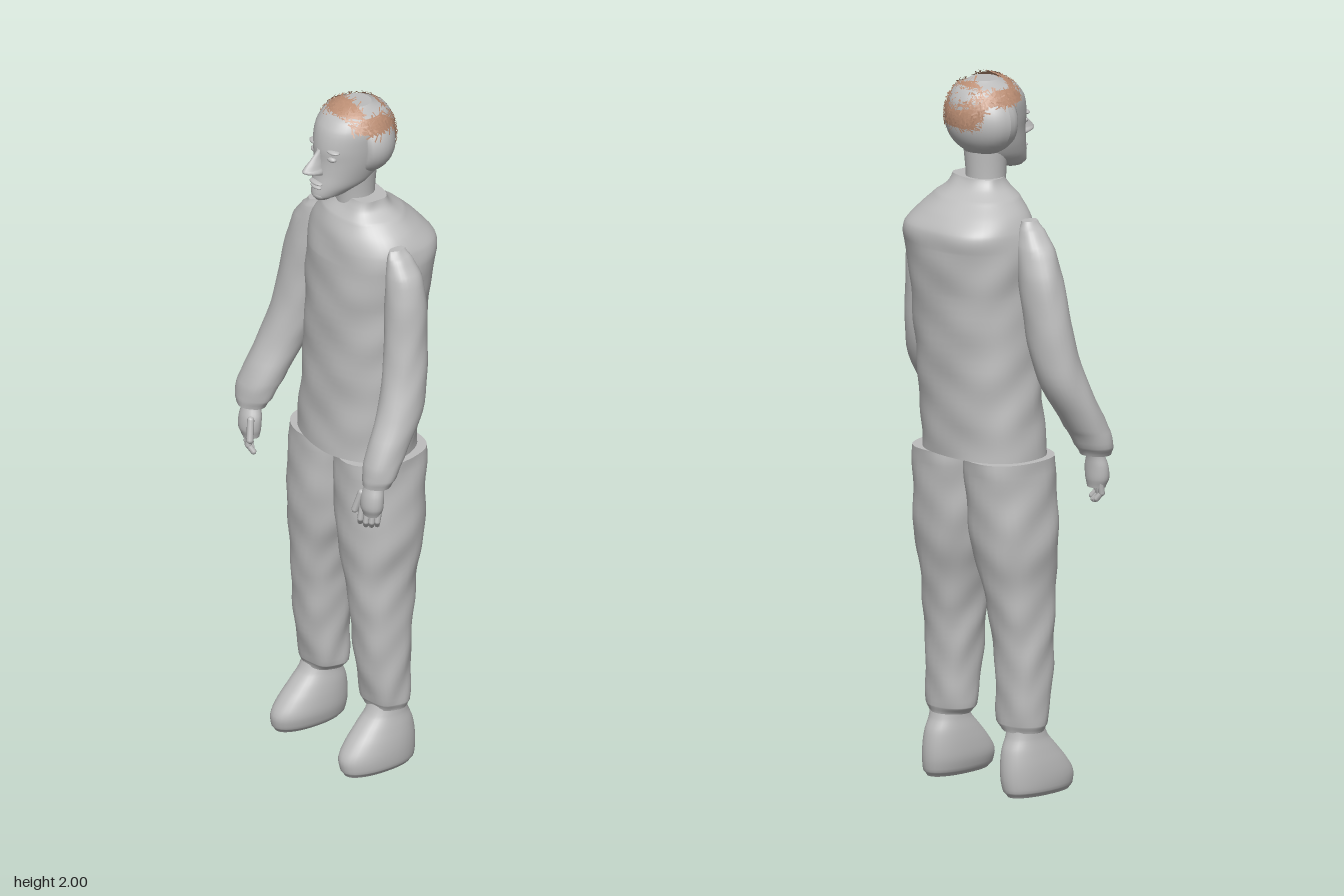
import * as THREE from 'three';

const clothGrey = new THREE.MeshStandardMaterial({ color: 0xbdbdbd, side: THREE.DoubleSide });
clothGrey.name = 'plain grey';
const hairBrown = new THREE.MeshStandardMaterial({ color: 0xbb8e74, side: THREE.DoubleSide });
hairBrown.name = 'hair brown';

let seed = 7;
const rand = () => (seed = (seed * 16807) % 2147483647) / 2147483647;

function add(parent, name, geometry, material = clothGrey) {
  const mesh = new THREE.Mesh(geometry, material);
  mesh.name = name;
  parent.add(mesh);
  return mesh;
}

// Closed loft through rings [y, x0, x1, z0, z1], listed upward and smoothed between.
function loft(rings, { seg = 32, steps = 4, power = 2, wrinkle = 0 } = {}) {
  const rows = [];
  for (let i = 0; i < rings.length - 1; i++) {
    const [p, a, b, q] = [rings[Math.max(i - 1, 0)], rings[i], rings[i + 1], rings[Math.min(i + 2, rings.length - 1)]];
    for (let s = 0; s < steps; s++) {
      const t = s / steps;
      rows.push(a.map((v, k) => k === 0 ? v + (b[0] - v) * t
        : 0.5 * (2 * v + (b[k] - p[k]) * t + (2 * p[k] - 5 * v + 4 * b[k] - q[k]) * t * t + (3 * v - p[k] - 3 * b[k] + q[k]) * t ** 3)));
    }
  }
  rows.push(rings.at(-1));
  const pos = [], idx = [];
  const round = v => Math.sign(v) * Math.abs(v) ** (2 / power);
  rows.forEach(([y, x0, x1, z0, z1]) => {
    for (let j = 0; j < seg; j++) {
      const a = j / seg * Math.PI * 2;
      const w = wrinkle * (Math.sin(y * 47 + 3 * Math.sin(a * 2)) + Math.sin(y * 29 - a * 5));
      pos.push((x0 + x1) / 2 + ((x1 - x0) / 2 + w) * round(Math.sin(a)), y,
        (z0 + z1) / 2 + ((z1 - z0) / 2 + w) * round(Math.cos(a)));
    }
  });
  for (let i = 0; i < rows.length - 1; i++) for (let j = 0; j < seg; j++) {
    const k = (j + 1) % seg, a = i * seg + j, b = i * seg + k;
    idx.push(a, b, b + seg, a, b + seg, a + seg);
  }
  // End caps use their own vertices so the rims stay sharp
  [0, rows.length - 1].forEach((i, top) => {
    const base = pos.length / 3, [y, x0, x1, z0, z1] = rows[i];
    pos.push(...pos.slice(i * seg * 3, (i + 1) * seg * 3), (x0 + x1) / 2, y, (z0 + z1) / 2);
    for (let j = 0; j < seg; j++) {
      const a = base + j, b = base + (j + 1) % seg;
      idx.push(...(top ? [a, b, base + seg] : [b, a, base + seg]));
    }
  });
  const g = new THREE.BufferGeometry();
  g.setAttribute('position', new THREE.Float32BufferAttribute(pos, 3));
  g.setIndex(idx);
  g.computeVertexNormals();
  return g;
}

// Mirror a ring list across x
const flip = (rings, side) => side > 0 ? rings : rings.map(([y, x0, x1, z0, z1]) => [y, -x1, -x0, z0, z1]);

function finger(parent, name, from, to, radius) {
  const a = new THREE.Vector3(...from), b = new THREE.Vector3(...to), d = b.clone().sub(a);
  const m = add(parent, name, new THREE.CapsuleGeometry(radius, d.length(), 4, 8));
  m.position.copy(a).add(b).multiplyScalar(0.5);
  m.quaternion.setFromUnitVectors(new THREE.Vector3(0, 1, 0), d.normalize());
}

function ellipsoid(parent, name, [x, y, z], [rx, ry, rz]) {
  const m = add(parent, name, new THREE.SphereGeometry(1, 24, 16));
  m.position.set(x, y, z);
  m.scale.set(rx, ry, rz);
}

function buildHead(group) {
  const head = new THREE.Group();
  head.name = 'head';
  group.add(head);
  add(head, 'neck', loft([[1.62, -.05, .08, -.05, .06], [1.7, -.042, .068, -.045, .065], [1.82, -.045, .08, -.05, .075]]));
  add(head, 'face', loft([
    [1.722, .0, .035, .09, .143], [1.735, -.022, .055, .04, .152], [1.765, -.043, .078, -.03, .147],
    [1.8, -.056, .09, -.06, .14], [1.84, -.065, .1, -.084, .136], [1.88, -.073, .106, -.097, .136],
    [1.93, -.077, .108, -.097, .124], [1.965, -.062, .092, -.076, .096], [1.985, -.025, .055, -.035, .045]], { power: 2.1 }));
  // Wider shell behind the face, cut flat at the front
  const shell = new THREE.SphereGeometry(1, 36, 24).scale(.117, .1, .09).translate(.012, 1.873, -.005);
  const p = shell.attributes.position;
  for (let i = 0; i < p.count; i++) p.setZ(i, Math.min(p.getZ(i), .035));
  shell.computeVertexNormals();
  add(head, 'backOfHead', shell);
  add(head, 'nose', loft([[1.803, .0, .038, .12, .152], [1.813, -.004, .041, .12, .185],
    [1.823, .002, .035, .12, .187], [1.85, .009, .027, .12, .16], [1.875, .01, .026, .12, .139]], { seg: 16 }));
  ellipsoid(head, 'upperLip', [.018, 1.776, .143], [.026, .006, .013]);
  ellipsoid(head, 'lowerLip', [.018, 1.764, .143], [.022, .006, .012]);
  ellipsoid(head, 'chin', [.018, 1.738, .132], [.026, .016, .02]);
  for (const s of [-1, 1]) {
    ellipsoid(head, 'eye', [.018 + s * .037, 1.855, .118], [.017, .009, .012]);
    ellipsoid(head, 'brow', [.018 + s * .038, 1.878, .115], [.026, .007, .016]);
  }
}

// Hair covers the front, temples and back but leaves the crown and sides bare
const hairy = (x, y, z) => z > .2
  ? y > .62 - .45 * Math.max(0, Math.abs(x) - .35)
  : y > -.2 && (z < -.5 || Math.hypot(x, z) > .72) && !(Math.abs(x) > .72 && y < .35);

function buildHair(group) {
  const hair = new THREE.Group();
  hair.name = 'hair';
  group.add(hair);
  const place = v => [.015 + v.x * .111, 1.885 + v.y * .113, .01 + v.z * .112];
  const make = (name, pos) => {
    const g = new THREE.BufferGeometry();
    g.setAttribute('position', new THREE.Float32BufferAttribute(pos, 3));
    g.computeVertexNormals();
    add(hair, name, g, hairBrown);
  };
  // Under layer: the hairy faces of an ellipsoid
  const ball = new THREE.SphereGeometry(1, 48, 32).toNonIndexed().attributes.position, under = [];
  for (let i = 0; i < ball.count; i += 3) {
    const t = [0, 1, 2].map(k => new THREE.Vector3().fromBufferAttribute(ball, i + k));
    const c = t[0].clone().add(t[1]).add(t[2]).divideScalar(3);
    if (hairy(c.x, c.y, c.z)) t.forEach(v => under.push(...place(v)));
  }
  make('hairBase', under);
  // Loose thin strands lying across the head
  const strands = [];
  for (let i = 0; i < 1100; i++) {
    const u = rand() * 1.3 - .3, a = rand() * Math.PI * 2, r = Math.sqrt(1 - u * u);
    const n = new THREE.Vector3(r * Math.sin(a), u, r * Math.cos(a));
    if (!hairy(n.x, n.y, n.z)) continue;
    const dir = new THREE.Vector3(rand() - .5, rand() - .5, rand() - .5).cross(n).normalize();
    const side = dir.clone().cross(n).multiplyScalar(.014 + rand() * .012);
    const mid = n.clone().multiplyScalar(1.01 + rand() * .02), len = .12 + rand() * .14;
    const tip = mid.clone().addScaledVector(dir, len), tail = mid.clone().addScaledVector(dir, -len);
    const l = tail.clone().add(side), q = tail.clone().sub(side);
    [l, q, tip].forEach(v => strands.push(...place(v)));
  }
  make('hairStrands', strands);
}

export function createModel() {
  const group = new THREE.Group();
  group.name = 'standingMan';

  add(group, 'shirt', loft([
    [.945, -.19, .19, -.145, .13], [1.05, -.182, .19, -.15, .125], [1.2, -.172, .197, -.16, .122],
    [1.4, -.165, .205, -.175, .122], [1.53, -.168, .22, -.188, .118], [1.58, -.162, .215, -.188, .112],
    [1.62, -.14, .19, -.155, .104], [1.66, -.1, .15, -.11, .088], [1.685, -.065, .118, -.075, .068],
    [1.712, -.05, .108, -.055, .052]], { seg: 48, steps: 8, power: 2.3, wrinkle: .0015 }));

  buildHead(group);
  buildHair(group);

  // Sleeves, each with its own pose
  const sleeves = {
    right: [[.96, -.335, -.24, .1, .18], [.985, -.349, -.226, .085, .18], [1.04, -.346, -.212, .055, .168],
      [1.15, -.332, -.195, -.01, .122], [1.25, -.315, -.172, -.037, .09], [1.35, -.3, -.158, -.045, .075],
      [1.46, -.277, -.142, -.05, .066], [1.54, -.248, -.135, -.042, .058], [1.59, -.205, -.138, -.025, .048], [1.615, -.18, -.142, -.013, .038]],
    left: [[.96, .255, .338, .1, .18], [.985, .25, .348, .085, .18], [1.04, .245, .348, .055, .168],
      [1.15, .228, .341, -.01, .122], [1.25, .21, .328, -.037, .09], [1.35, .197, .315, -.045, .075],
      [1.46, .19, .306, -.05, .066], [1.54, .19, .287, -.042, .058], [1.59, .195, .25, -.025, .048], [1.612, .2, .225, -.013, .038]],
  };

  const trouserRings = [[.18, .085, .207, -.052, .055], [.2, .068, .216, -.058, .062], [.3, .066, .218, -.063, .08],
    [.42, .058, .218, -.07, .09], [.5, .052, .216, -.082, .1], [.6, .032, .216, -.1, .108],
    [.7, .006, .226, -.12, .118], [.8, -.002, .22, -.13, .12], [.9, -.004, .213, -.138, .121], [.945, -.004, .211, -.14, .12]];
  const shoeRings = [[0, .12, .205, -.062, .148], [.015, .105, .217, -.073, .158], [.05, .096, .22, -.078, .16],
    [.09, .096, .217, -.077, .135], [.13, .1, .21, -.07, .1], [.165, .106, .203, -.055, .068], [.22, .11, .2, -.045, .045]];
  const palmRings = [[.865, .254, .312, .125, .17], [.89, .248, .322, .12, .178], [.925, .248, .322, .118, .175],
    [.955, .26, .315, .115, .165], [.99, .265, .315, .105, .155]];

  for (const [name, s] of [['left', 1], ['right', -1]]) {
    add(group, name + 'Sleeve', loft(sleeves[name], { seg: 28, wrinkle: .0006 }));
    add(group, name + 'Trouser', loft(flip(trouserRings, s), { steps: 6, power: 2.3, wrinkle: .0014 }));
    add(group, name + 'Shoe', loft(flip(shoeRings, s), { power: 2.2 }));

    // Hand with four curled fingers and a thumb
    const hand = new THREE.Group();
    hand.name = name + 'Hand';
    group.add(hand);
    add(hand, 'palm', loft(flip(palmRings, s), { seg: 20 }));
    for (let i = 0; i < 4; i++) {
      const x = s * (.261 + i * .015), z = .164 - i * .008, low = .84 + Math.abs(i - 1.3) * .006;
      finger(hand, 'fingerBase', [x, .885, z], [x, low, z + .006], .009);
      finger(hand, 'fingerTip', [x, low, z + .006], [x - s * .012, low - .017, z - .002], .008);
    }
    finger(hand, 'thumb', [s * .258, .925, .165], [s * .245, .872, .177], .01);
  }
  return group;
}
